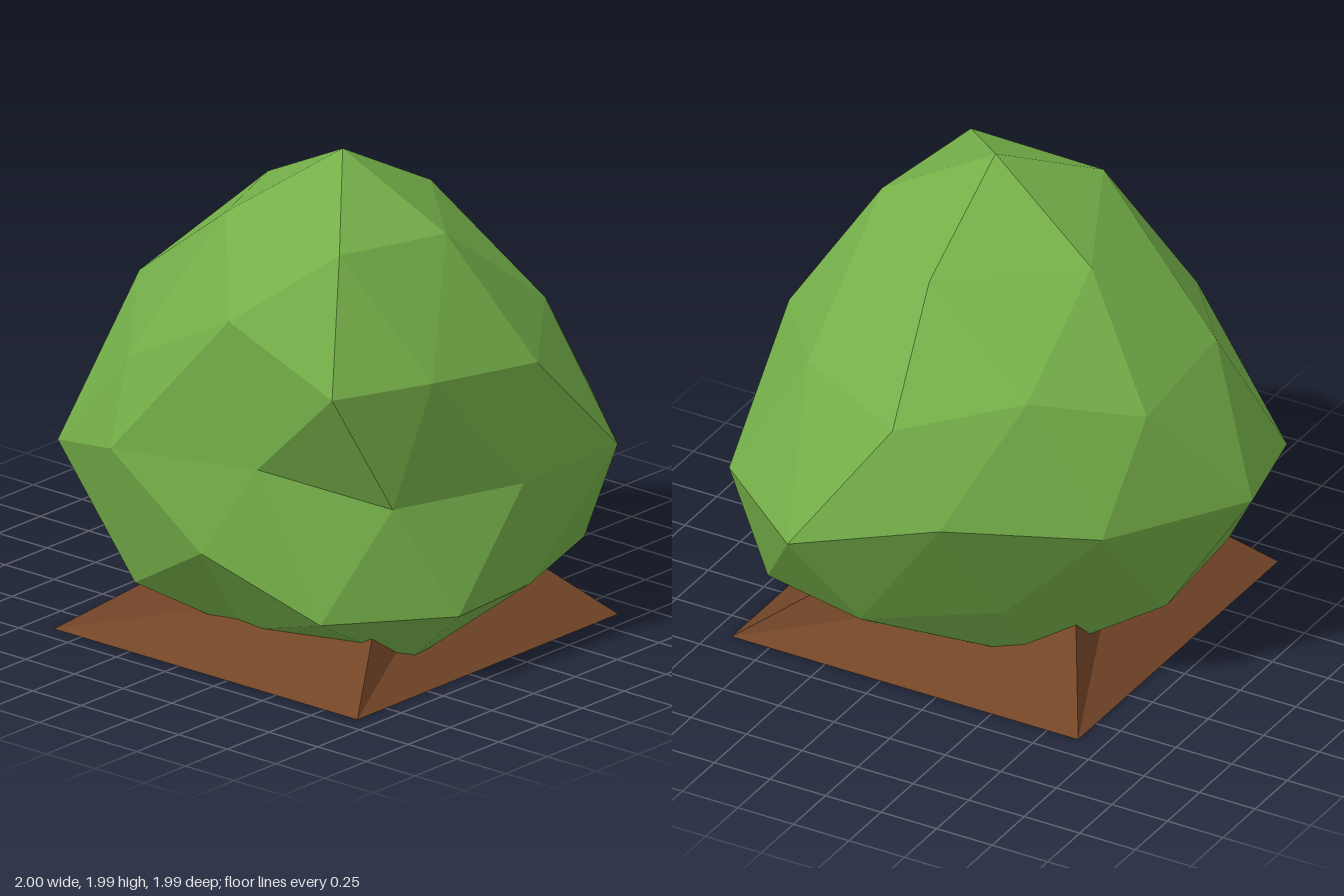
import * as THREE from 'three';

const leafGreen = new THREE.MeshStandardMaterial({ color: 0x75b049, flatShading: true });
leafGreen.name = 'leafGreen';
const barkBrown = new THREE.MeshStandardMaterial({ color: 0x734527, flatShading: true, side: THREE.DoubleSide });
barkBrown.name = 'barkBrown';

// Rings of the lumpy crown, from the tip down, each running left to right past the front
const tip = [-0.17, 1.99, 0.2];
const cap = [
  [-0.62, 1.76, 0.57], [-0.1, 1.73, 0.67], [0.38, 1.7, 0.18], [0, 1.72, -0.33], [-0.58, 1.78, -0.05],
];
const shoulder = [
  [-0.85, 1.26, 0.73], [0.08, 1.22, 0.985], [0.84, 1.29, 0.08], [0.21, 1.26, -0.7], [-0.86, 1.2, -0.31],
];
const shoulderMid = [
  [-0.47, 1.27, 0.92], [0.53, 1.28, 0.64], [0.52, 1.37, -0.34], [-0.35, 1.32, -0.69], [-0.91, 1.49, 0.25],
];
const waist = [
  [-0.89, 0.9, 0.38], [-0.58, 0.75, 0.81], [0, 0.74, 0.985], [0.59, 0.73, 0.96], [1, 0.745, 0.46],
  [0.89, 0.93, -0.16], [0.47, 0.82, -0.65], [-0.11, 0.8, -0.99], [-0.71, 0.69, -0.8], [-1, 0.86, -0.28],
];
const hipMid = [
  [-0.85, 0.31, 0.67], [0.1, 0.28, 0.93], [0.75, 0.33, 0.28], [0.02, 0.3, -0.68], [-0.83, 0.25, -0.3],
];
const hip = [
  [-0.4, 0.3, 0.995], [0.6, 0.3, 0.78], [0.56, 0.42, -0.26], [-0.56, 0.28, -0.62], [-0.97, 0.52, 0.16],
];
const under = [
  [-0.42, 0.06, 0.75], [0.38, 0.08, 0.38], [0.32, 0.1, -0.25], [-0.35, 0.08, -0.38], [-0.65, 0.1, 0.1],
];
const bottom = [-0.12, 0.03, 0.15];

// Crown: a once-divided icosahedron, one fifth at a time
function crownGeometry() {
  const points = [];
  const face = (...corners) => corners.forEach((c) => points.push(...c));
  for (let i = 0; i < 5; i++) {
    const n = (i + 1) % 5;
    const left = waist[2 * i], right = waist[2 * i + 1], next = waist[2 * n];
    const mid = shoulderMid[i], prevMid = shoulderMid[(i + 4) % 5];
    // upper dome
    face(tip, cap[i], cap[n]);
    face(cap[i], prevMid, shoulder[i]);
    face(cap[i], shoulder[i], mid);
    face(cap[i], mid, cap[n]);
    // shoulder to waist
    face(shoulder[i], prevMid, left);
    face(shoulder[i], left, right);
    face(shoulder[i], right, mid);
    face(mid, right, next);
    // waist to hip
    face(left, hipMid[i], right);
    face(hip[i], right, hipMid[i]);
    face(hip[i], next, right);
    face(hip[i], hipMid[n], next);
    // underside
    face(hip[i], hipMid[i], under[i]);
    face(hip[i], under[i], hipMid[n]);
    face(hipMid[n], under[i], under[n]);
    face(under[i], bottom, under[n]);
  }
  const g = new THREE.BufferGeometry();
  g.setAttribute('position', new THREE.Float32BufferAttribute(points, 3));
  g.computeVertexNormals();
  return g;
}

// Trunk base: open four-sided taper, its upper rim slightly twisted
function trunkGeometry() {
  const height = 0.35;
  const g = new THREE.CylinderGeometry(0.56, 1.103, height, 4, 1, true);
  g.translate(0, height / 2, 0);
  const p = g.attributes.position;
  const v = new THREE.Vector3();
  const up = new THREE.Vector3(0, 1, 0);
  for (let i = 0; i < p.count; i++) {
    v.fromBufferAttribute(p, i);
    v.applyAxisAngle(up, Math.PI / 4 + 0.25 * (v.y / height));
    p.setXYZ(i, v.x, v.y, v.z);
  }
  g.translate(-0.14, 0, 0.14);
  g.computeVertexNormals();
  return g;
}

export function createModel() {
  const group = new THREE.Group();
  group.name = 'bush';
  const crown = new THREE.Mesh(crownGeometry(), leafGreen);
  crown.name = 'crown';
  const trunk = new THREE.Mesh(trunkGeometry(), barkBrown);
  trunk.name = 'trunkBase';
  group.add(crown, trunk);
  return group;
}
